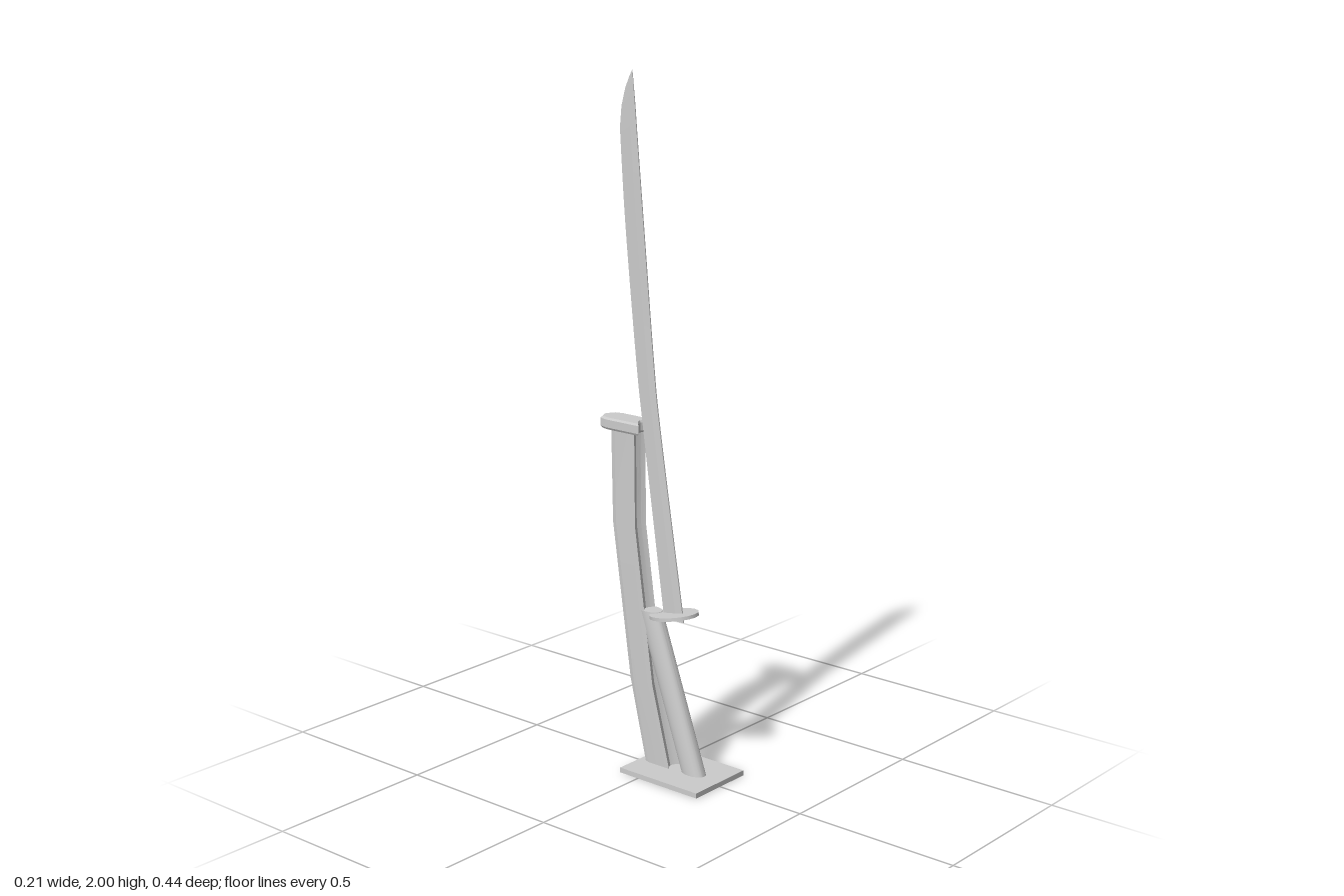
import * as THREE from 'three';
import { toCreasedNormals } from 'three/addons/utils/BufferGeometryUtils.js';

const material = new THREE.MeshStandardMaterial({ color: 0xcccccc });

function addMesh(group, name, geometry) {
  const mesh = new THREE.Mesh(geometry, material);
  mesh.name = name;
  group.add(mesh);
  return mesh;
}

// Skin stacked horizontal rings (each running anticlockwise seen from above) and close both ends.
function loft(rings, crease) {
  const n = rings[0].length;
  const index = [];
  for (let r = 0; r < rings.length - 1; r++) {
    for (let i = 0; i < n; i++) {
      const a = r * n + i, b = r * n + (i + 1) % n;
      index.push(a, b, b + n, a, b + n, a + n);
    }
  }
  const top = (rings.length - 1) * n;
  for (let i = 1; i < n - 1; i++) index.push(0, i + 1, i, top, top + i, top + i + 1);
  const geometry = new THREE.BufferGeometry();
  geometry.setAttribute('position', new THREE.Float32BufferAttribute(rings.flat(2), 3));
  geometry.setIndex(index);
  geometry.computeVertexNormals();
  return toCreasedNormals(geometry, crease);
}

// Outline with a rounded back (u = 0) and a hollowed front (u = 1); x is a share of the half width.
const halfOutline = [[0.8, 0.09], [1, 0.25], [1, 1], [0.55, 0.91]];
const outline = [
  [0, 0],
  ...halfOutline.map(([x, u]) => [-x, u]),
  [0, 0.855],
  ...halfOutline.map(([x, u]) => [x, u]).reverse(),
];
const supportRing = ([y, front, back, halfWidth]) =>
  outline.map(([x, u]) => [x * halfWidth, y, back + (front - back) * u]);

export function createModel() {
  const group = new THREE.Group();

  // Base plate
  addMesh(group, 'base', new THREE.BoxGeometry(0.214, 0.015, 0.284)).position.set(0, 0.0075, 0.075);

  // Bent scabbard: y, front z, back z, half width
  addMesh(group, 'scabbard', loft([
    [0.01, 0.048, -0.053, 0.024],
    [0.257, -0.016, -0.111, 0.024],
    [0.718, -0.08, -0.176, 0.024],
    [0.995, -0.082, -0.181, 0.024],
  ].map(supportRing), 0.3));

  // Bevelled collar on top of the scabbard
  addMesh(group, 'scabbardCollar', loft([
    [0.99, -0.06, -0.211, 0.033],
    [0.996, -0.055, -0.219, 0.036],
    [1.019, -0.055, -0.219, 0.036],
    [1.025, -0.06, -0.211, 0.033],
  ].map(supportRing), 0.3));

  // Oval handle, sheared so that it leans back and meets the base flat
  const handle = new THREE.CylinderGeometry(1, 1, 0.465, 20);
  handle.scale(0.026, 1, 0.04);
  handle.translate(0, 0.2425, 0);
  const p = handle.attributes.position;
  for (let i = 0; i < p.count; i++) {
    p.setZ(i, p.getZ(i) + 0.125 - 0.168 * p.getY(i) / 0.475);
  }
  handle.computeVertexNormals();
  addMesh(group, 'handle', toCreasedNormals(handle, 0.6));

  // Thin oval guard, square to the handle
  const guard = new THREE.CylinderGeometry(1, 1, 0.01, 16);
  guard.scale(0.06, 1, 0.079);
  const guardMesh = addMesh(group, 'guard', toCreasedNormals(guard, 0.6));
  guardMesh.position.set(0, 0.477, 0.045);
  guardMesh.rotation.x = -0.18;

  // Curved blade: spine and cutting edge as [z, y] curves, wedge-shaped section
  const curve = (points) => new THREE.SplineCurve(points.map(([z, y]) => new THREE.Vector2(z, y)));
  const spine = curve([[0.081, 0.46], [-0.005, 1], [-0.03, 1.2], [-0.063, 1.55], [-0.09, 1.84]]);
  const edge = curve([[0.008, 0.46], [-0.069, 1], [-0.095, 1.2], [-0.133, 1.58], [-0.151, 1.84]]);
  const bladeRing = (s, e, t) => {
    const ridge = s.clone().lerp(e, 0.35);
    return [
      [0, e.y, e.x],
      [-t, ridge.y, ridge.x], [-t * 0.6, s.y, s.x],
      [t * 0.6, s.y, s.x], [t, ridge.y, ridge.x],
    ];
  };
  const rings = [];
  for (let i = 0; i <= 24; i++) {
    rings.push(bladeRing(spine.getPoint(i / 24), edge.getPoint(i / 24), 0.0035 - 0.001 * i / 24));
  }
  // The edge sweeps forward to a point on the spine
  for (const [y, s, e, t] of [
    [1.9, -0.095, -0.145, 0.0024], [1.95, -0.1, -0.131, 0.002],
    [1.98, -0.103, -0.117, 0.0015], [2, -0.105, -0.106, 0.0005],
  ]) rings.push(bladeRing(new THREE.Vector2(s, y), new THREE.Vector2(e, y), t));
  addMesh(group, 'blade', loft(rings, 0.1));

  return group;
}
